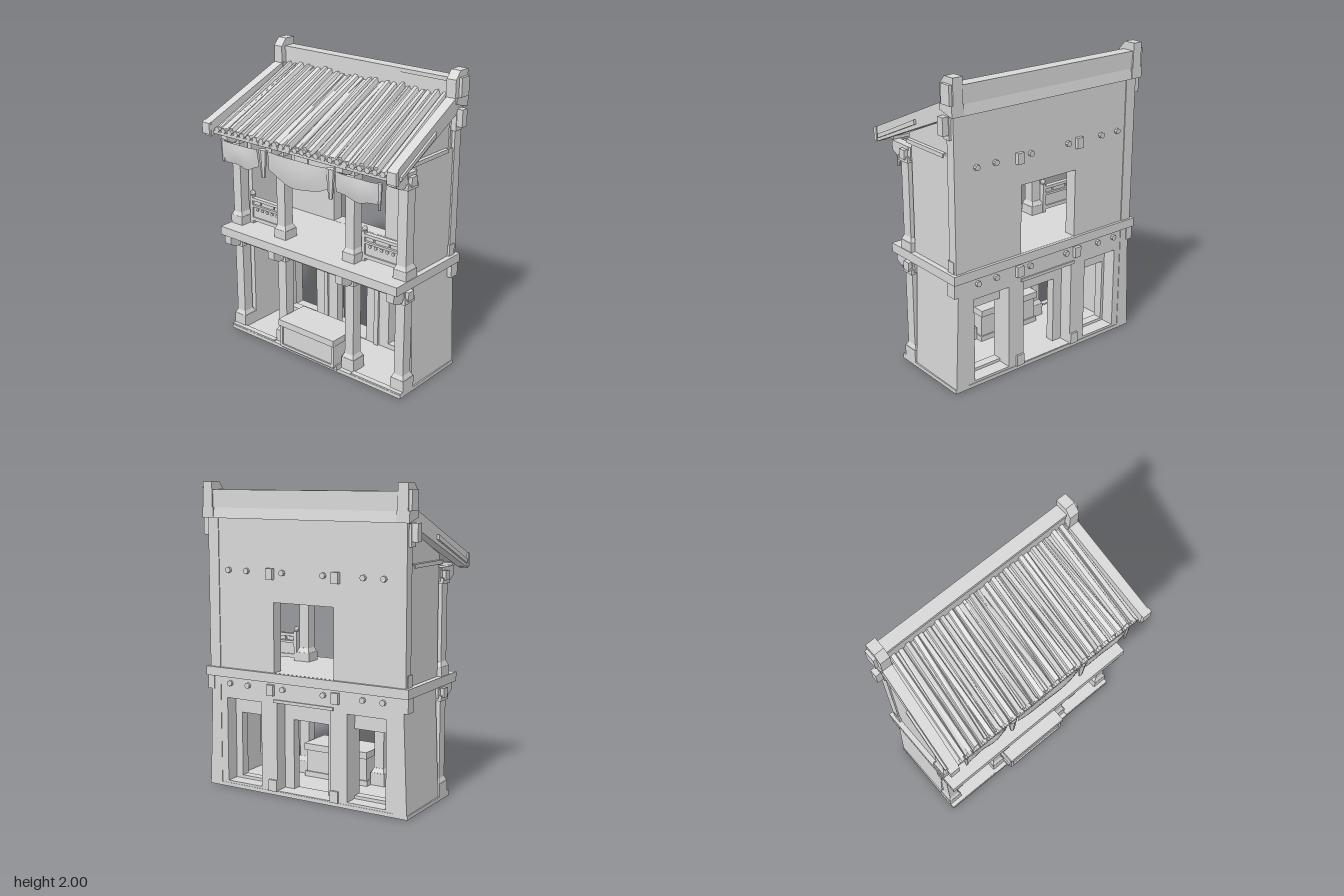
import * as THREE from 'three';
import { ConvexGeometry } from 'three/addons/geometries/ConvexGeometry.js';

export function createModel() {
  const root = new THREE.Group();
  const stone = new THREE.MeshStandardMaterial({ color: 0xd8d8d8, flatShading: true });
  stone.name = 'pale grey';
  const cloth = new THREE.MeshStandardMaterial({ color: 0xd8d8d8, side: THREE.DoubleSide });
  cloth.name = 'pale grey cloth';
  let seed = 7;
  const rnd = () => ((seed = (seed * 16807) % 2147483647) / 2147483647) - 0.5;

  const add = (name, geo, mat = stone) => {
    const m = new THREE.Mesh(geo, mat);
    m.name = name;
    root.add(m);
    return m;
  };
  // box from its limits
  const box = (name, x0, x1, y0, y1, z0, z1) =>
    add(name, new THREE.BoxGeometry(x1 - x0, y1 - y0, z1 - z0)
      .translate((x0 + x1) / 2, (y0 + y1) / 2, (z0 + z1) / 2));
  // same box on both sides
  const pair = (name, x0, x1, ...r) => { box(name, x0, x1, ...r); box(name, -x1, -x0, ...r); };
  const hull = (name, pts) => add(name, new ConvexGeometry(pts.map(p => new THREE.Vector3(...p))));
  // outline given in (z, y), extruded from x0 to x1
  const sideProfile = (name, pts, x0, x1) => hull(name, pts.flatMap(([z, y]) => [[x0, y, z], [x1, y, z]]));
  // upright wall with rectangular openings [x0, x1, y0, y1]
  const wall = (name, w, y0, y1, z0, z1, holes) => {
    const rect = (S, a, b, c, d) => {
      const s = new S();
      s.moveTo(a, c); s.lineTo(b, c); s.lineTo(b, d); s.lineTo(a, d); s.closePath();
      return s;
    };
    const s = rect(THREE.Shape, -w, w, y0, y1);
    s.holes = holes.map(h => rect(THREE.Path, ...h));
    add(name, new THREE.ExtrudeGeometry(s, { depth: z1 - z0, bevelEnabled: false }).translate(0, 0, z0));
  };
  const peg = (name, x, y, z, len) =>
    add(name, new THREE.CylinderGeometry(0.019, 0.019, len, 8).rotateX(Math.PI / 2).translate(x, y, z));

  // floors and ceiling
  box('groundFloor', -0.74, 0.74, 0, 0.025, -0.355, 0.23);
  pair('floorEdgeStone', 0.34, 0.74, 0.025, 0.035, 0.19, 0.228);
  box('upperFloor', -0.745, 0.745, 0.74, 0.8, -0.37, 0.3);
  box('ceiling', -0.65, 0.65, 1.45, 1.5, -0.28, 0.1);

  // side walls, gables and back corner posts
  for (const s of [-1, 1]) {
    hull('lowerSideWall', [[0.64, 0.02, 0.09], [0.73, 0.02, 0.09], [0.64, 0.02, -0.355], [0.735, 0.02, -0.355],
      [0.64, 0.74, 0.09], [0.70, 0.74, 0.09], [0.64, 0.74, -0.355], [0.705, 0.74, -0.355]]
      .map(([x, y, z]) => [s * x, y, z]));
    sideProfile('upperSideWall', [[0.09, 0.8], [-0.33, 0.8], [-0.33, 1.52], [0.09, 1.52]], s * 0.64, s * 0.71);
    sideProfile('gable', [[0.14, 1.51], [-0.33, 1.51], [-0.33, 1.76], [-0.26, 1.73], [0.14, 1.56]], s * 0.64, s * 0.69);
  }
  pair('backCornerPost', 0.64, 0.72, 0.8, 1.78, -0.355, -0.29);

  // back walls
  wall('lowerBackWall', 0.7, 0.02, 0.74, -0.352, -0.26,
    [[-0.59, -0.32, 0.04, 0.6], [-0.2, 0.2, 0.03, 0.61], [0.32, 0.59, 0.04, 0.6]]);
  wall('innerDoorFrames', 0.64, 0.02, 0.74, -0.26, -0.2,
    [[-0.57, -0.32, 0.06, 0.49], [-0.13, 0.13, 0.03, 0.49], [0.32, 0.54, 0.06, 0.49]]);
  wall('upperBackWall', 0.7, 0.8, 1.8, -0.35, -0.27, [[-0.22, 0.22, 0.801, 1.25]]);
  pair('wallPanel', 0.45, 0.57, 0.98, 1.24, -0.27, -0.262);
  box('backDoorLintel', -0.222, 0.222, 0.61, 0.63, -0.362, -0.35);
  pair('backDoorStone', 0.2, 0.26, 0.025, 0.1, -0.365, -0.345);

  // trim on the inner face of the lower back wall
  pair('innerDoorTrim', 0.205, 0.24, 0.025, 0.63, -0.2, -0.185);
  box('innerDoorTrimTop', -0.24, 0.24, 0.605, 0.64, -0.2, -0.185);
  pair('innerWindowTrimTop', 0.34, 0.62, 0.57, 0.64, -0.2, -0.185);

  // counter
  box('counterBody', -0.23, 0.23, 0.05, 0.21, 0.05, 0.265);
  box('counterBase', -0.24, 0.24, 0.025, 0.06, 0.04, 0.25);
  box('counterTop', -0.24, 0.24, 0.21, 0.255, 0.03, 0.285);
  pair('counterTrim', 0.215, 0.235, 0.05, 0.21, 0.26, 0.275);
  box('counterBottomTrim', -0.23, 0.23, 0.05, 0.07, 0.26, 0.275);

  // pillars, brackets, beams and joist ends, on both storeys
  for (const [y0, y1, baseH] of [[0.02, 0.74, 0.09], [0.8, 1.48, 0.06]]) {
    for (const x of [-0.69, -0.29, 0.29, 0.69]) {
      box('pillarBase', x - 0.05, x + 0.05, y0, y0 + baseH, 0.09, 0.2);
      hull('pillarBaseTaper', [[0.047, y0 + baseH, 0.053], [0.035, y0 + baseH + 0.03, 0.038]]
        .flatMap(([a, y, d]) => [[x - a, y, 0.145 - d], [x + a, y, 0.145 - d], [x - a, y, 0.145 + d], [x + a, y, 0.145 + d]]));
      box('pillarShaft', x - 0.035, x + 0.035, y0 + baseH, y1 - 0.06, 0.11, 0.185);
      box('pillarCapital', x - 0.046, x + 0.046, y1 - 0.1, y1 - 0.065, 0.1, 0.2);
      sideProfile('pillarBracket', [[0.09, y1], [0.29, y1], [0.29, y1 - 0.06], [0.24, y1 - 0.085], [0.09, y1 - 0.085]],
        x - 0.028, x + 0.028);
    }
    box('frontBeam', -0.72, 0.72, y1 - 0.075, y1, 0.11, 0.185);
    pair('sideBeamEnd', 0.69, 0.745, y1 - 0.08, y1 - 0.02, 0.12, 0.175);
    for (const x of [-0.57, -0.43, -0.15, 0.15, 0.42, 0.56]) {
      peg('frontJoistEnd', x, y1 - 0.022, 0.2, 0.05);
      peg('backJoistEnd', x, y1 - 0.04, -0.352, 0.035);
    }
    pair('backBracket', 0.215, 0.265, y1 - 0.085, y1 - 0.015, -0.375, -0.34);
  }
  pair('rearSideBracket', 0.69, 0.74, 0.65, 0.74, -0.36, -0.29);
  pair('rearSideBlock', 0.69, 0.725, 0.8, 0.875, -0.335, -0.28);
  pair('roofSideBracket', 0.68, 0.775, 1.66, 1.77, -0.33, -0.28);
  pair('roofSidePost', 0.68, 0.735, 1.63, 1.78, -0.335, -0.275);
  pair('sideTopBeam', 0.68, 0.715, 1.5, 1.525, -0.24, 0.14);

  // balcony railings
  for (const x of [-0.485, 0.485]) {
    box('railingPanel', x - 0.135, x + 0.135, 0.825, 0.925, 0.095, 0.11);
    box('railingBottom', x - 0.145, x + 0.145, 0.82, 0.845, 0.085, 0.12);
    box('railingMiddle', x - 0.145, x + 0.145, 0.92, 0.935, 0.085, 0.12);
    box('railingTop', x - 0.145, x + 0.145, 0.965, 0.985, 0.085, 0.12);
    for (const d of [-0.14, 0.14]) {
      box('railingPost', x + d - 0.012, x + d + 0.012, 0.8, 1.0, 0.085, 0.12);
      add('railingKnob', new THREE.IcosahedronGeometry(0.018, 1).translate(x + d, 1.015, 0.1025));
    }
    for (let i = -2; i <= 2; i++) {
      const stud = add('railingStud', new THREE.CylinderGeometry(0.011, 0.011, 0.01, 8).rotateX(Math.PI / 2));
      stud.position.set(x + i * 0.045, 0.905, 0.113);
    }
    for (const [d, w] of [[-0.095, 0.03], [0, 0.055], [0.095, 0.03]])
      box('railingSlat', x + d - w, x + d + w, 0.938, 0.962, 0.095, 0.11);
  }

  // roof deck: y as a function of z
  const slope = z => 1.485 + (0.36 - z) * 0.5;
  hull('roofDeck', [[0.36, 0.71], [-0.32, 0.66]].flatMap(([z, w]) =>
    [-w, w].flatMap(x => [[x, slope(z) - 0.005, z], [x, slope(z) + 0.015, z]])));
  // rows of uneven cover tiles narrowing towards the ridge
  const N = 25;
  for (let i = 0; i < N; i++) {
    const u = (i + 0.5) / N * 2 - 1;
    const pts = [];
    const zf = 0.355 + rnd() * 0.02;
    for (const [z, w, k] of [[zf, 0.7, 1], [-0.31, 0.655, 0.9]]) {
      const x = u * w + rnd() * 0.022, h = 0.036 + rnd() * 0.022, y = slope(z), r = 0.027 + rnd() * 0.01;
      for (const [a, b] of [[-r, 0], [-0.016, h], [0.012, h + rnd() * 0.022], [r, 0]])
        pts.push([x + a * k, y + b, z]);
    }
    hull('coverTile', pts);
    // tilted slab in the channel beside it
    const lift = [0.018 + rnd() * 0.02, 0.018 + rnd() * 0.02];
    if (i) hull('channelTile', [[0.35, 0.7], [-0.3, 0.655]].flatMap(([z, w], j) =>
      [-0.084, -0.028].flatMap((a, n) => [0, lift[n ^ j] + 0.005].map(b => [u * w + a * w * 0.5 + 0.014 * j, slope(z) + b, z]))));
    hull('tileEnd', [0, 1, 2, 3, 4, 5].flatMap(j => {
      const a = j * Math.PI / 3;
      return [0.345, 0.366].map(z => [u * 0.7 + 0.021 * Math.cos(a), 1.513 + 0.019 * Math.sin(a), z]);
    }));
  }
  box('eavesBoard', -0.7, 0.7, 1.475, 1.495, 0.3, 0.35);

  // sloping boards at the roof ends with raised strips
  for (const s of [-1, 1]) {
    const bar = (name, ends) => hull(name, ends.flatMap(([z, y0, y1, a, b]) =>
      [[s * a, y0, z], [s * b, y0, z], [s * a, y1, z], [s * b, y1, z]]));
    bar('endBoard', [[0.375, 1.46, 1.555, 0.715, 0.778], [-0.36, 1.775, 1.885, 0.66, 0.73]]);
    bar('endBoardNose', [[0.388, 1.475, 1.55, 0.72, 0.785], [0.36, 1.465, 1.562, 0.715, 0.785]]);
    bar('endBoardStrip', [[0.34, 1.493, 1.518, 0.76, 0.79], [-0.03, 1.66, 1.69, 0.735, 0.766]]);
    // ridge end post
    sideProfile('ridgePost', [[-0.255, 1.83], [-0.38, 1.83], [-0.38, 2], [-0.3, 2], [-0.255, 1.95]], s * 0.667, s * 0.735);
    sideProfile('ridgePostFoot', [[-0.26, 1.84], [-0.26, 1.80], [-0.38, 1.77], [-0.38, 1.84]], s * 0.66, s * 0.745);
  }
  pair('ridgeEndBlock', 0.73, 0.755, 1.84, 1.96, -0.37, -0.29);

  // ridge
  box('ridgeBeam', -0.675, 0.675, 1.81, 1.925, -0.37, -0.295);
  box('ridgeCap', -0.675, 0.675, 1.925, 1.95, -0.375, -0.288);
  sideProfile('ridgeBackBoard', [[-0.33, 1.85], [-0.368, 1.85], [-0.38, 1.77], [-0.33, 1.77]], -0.68, 0.68);

  // hanging cloths with sagging hems
  const drape = (x0, x1, top, drop, sag) => {
    const g = new THREE.PlaneGeometry(1, 1, 10, 4), p = g.attributes.position;
    for (let i = 0; i < p.count; i++) {
      const u = p.getX(i) + 0.5, v = 0.5 - p.getY(i), arch = Math.sin(u * Math.PI);
      const hem = drop + sag * arch + 0.008 * Math.sin(u * 11 + x0 * 9);
      p.setXYZ(i, x0 + u * (x1 - x0), top - 0.01 * arch - v * hem,
        0.35 + 0.005 * Math.sin(u * 9 + v) - 0.012 * v + 0.04 * arch * v * (1 - v));
    }
    g.computeVertexNormals();
    add('hangingCloth', g, cloth);
  };
  drape(-0.65, -0.33, 1.45, 0.13, 0.02);
  drape(-0.24, 0.25, 1.455, 0.13, 0.065);
  drape(0.31, 0.645, 1.45, 0.13, 0.02);
  // gathered tails between and beside the cloths
  const tail = (x, r, y0, y1) =>
    add('clothTail', new THREE.CylinderGeometry(r, r * 0.45, y1 - y0, 6).scale(1, 1, 0.6).translate(x, (y0 + y1) / 2, 0.345));
  tail(-0.285, 0.034, 1.27, 1.455);
  tail(0.27, 0.034, 1.26, 1.455);
  tail(-0.64, 0.02, 1.3, 1.45);
  tail(0.64, 0.02, 1.28, 1.45);
  return root;
}
